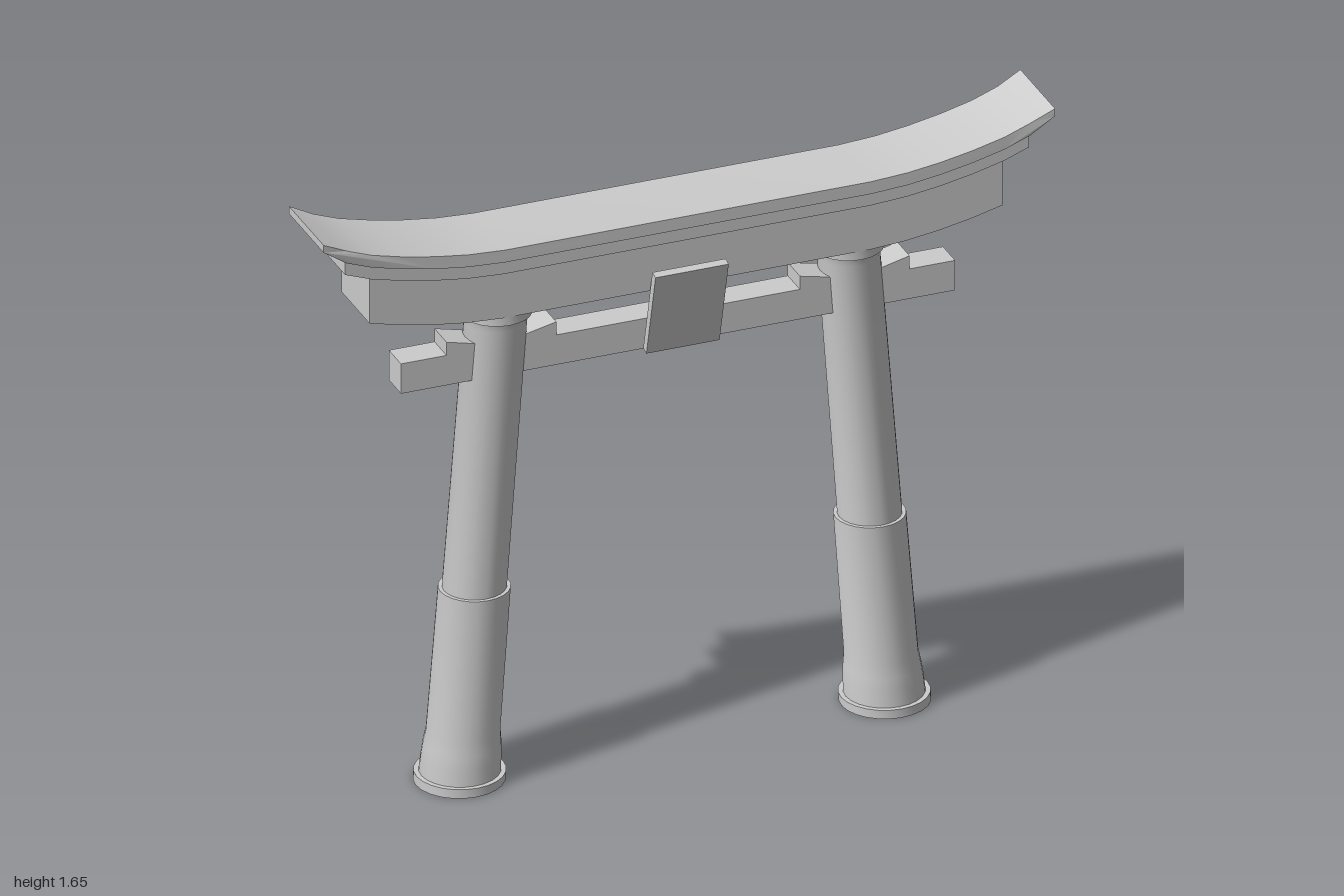
import * as THREE from 'three';
import { toCreasedNormals } from 'three/addons/utils/BufferGeometryUtils.js';

const CZ = -0.006; // depth centre of the gate
const grey = new THREE.MeshStandardMaterial({ color: 0xcccccc });
const greyDouble = new THREE.MeshStandardMaterial({ color: 0xcccccc, side: THREE.DoubleSide });

function add(parent, name, geometry, material = grey) {
  const mesh = new THREE.Mesh(geometry, material);
  mesh.name = name;
  parent.add(mesh);
  return mesh;
}

// Extrudes an x-y outline symmetrically in depth
function slab(points, halfDepth) {
  const shape = new THREE.Shape(points.map(([x, y]) => new THREE.Vector2(x, y)));
  const g = new THREE.ExtrudeGeometry(shape, { depth: halfDepth * 2, bevelEnabled: false });
  return g.translate(0, 0, -halfDepth);
}

// Upward sweep of the lintels: [x, rise]
const SWEEP = [[0.5, 0], [0.6, 0.006], [0.69, 0.018], [0.78, 0.035], [0.865, 0.056], [0.935, 0.082], [1, 0.114]];

function lintel(halfLength, bottom, top, halfDepth, tipThinning = 0) {
  const run = SWEEP.filter(([x]) => x <= halfLength);
  const low = run.map(([x, r]) => [x, bottom + r + (x === 1 ? tipThinning : 0)]);
  const high = run.map(([x, r]) => [x, top + r]);
  const rightHalf = [...low, ...high.reverse()];
  const leftHalf = rightHalf.map(([x, y]) => [-x, y]).reverse();
  return slab([...rightHalf, ...leftHalf], halfDepth);
}

// Upright leg: turned profile, sheared so that rims stay level
function pillar(side) {
  const profile = [
    [0.118, 0], [0.118, 0.025], [0.105, 0.025], [0.103, 0.07], [0.1, 0.105], [0.095, 0.14],
    [0.093, 0.54], [0.083, 0.54], [0.081, 1.29], [0.085, 1.31], [0.093, 1.313], [0.093, 1.34],
  ].map(([r, y]) => new THREE.Vector2(r, y));
  const g = toCreasedNormals(new THREE.LatheGeometry(profile, 24), 0.6);
  const p = g.attributes.position;
  for (let i = 0; i < p.count; i++) {
    p.setX(i, p.getX(i) + side * (0.582 - 0.077 * p.getY(i)));
  }
  return g;
}

export function createModel() {
  const gate = new THREE.Group();
  gate.name = 'gate';

  const frame = new THREE.Group();
  frame.name = 'frame';
  frame.position.z = CZ;
  gate.add(frame);

  // Stacked lintels, each longer and deeper than the one below
  add(frame, 'lowerLintel', toCreasedNormals(lintel(0.865, 1.338, 1.468, 0.094), 0.4));
  add(frame, 'middleLintel', toCreasedNormals(lintel(0.935, 1.468, 1.505, 0.102), 0.4));
  const roof = lintel(1, 1.505, 1.54, 0.11, 0.014);
  const p = roof.attributes.position;
  for (let i = 0; i < p.count; i++) {
    if (Math.abs(p.getX(i)) > 0.99) p.setZ(i, p.getZ(i) * 1.06); // flared tips
  }
  add(frame, 'topLintel', toCreasedNormals(roof, 0.4));

  // Straight tie beam through both pillars
  add(frame, 'tieBeam', new THREE.BoxGeometry(1.515, 0.085, 0.082)).position.y = 1.19;

  for (const side of [1, -1]) {
    const label = side > 0 ? 'left' : 'right';
    add(frame, label + 'Pillar', pillar(side), greyDouble);

    // Wedges driven in on both sides of the pillar
    for (const [name, end] of [['OuterWedge', 0.633], ['InnerWedge', 0.333]]) {
      const pts = [[end, 1.23], [end, 1.27], [0.49, 1.235], [0.49, 1.23]].map(([x, y]) => [x * side, y]);
      add(frame, label + name, slab(pts, 0.041));
    }
  }

  // Tilted plaque hanging in the middle
  const plaque = add(gate, 'plaque', new THREE.BoxGeometry(0.2, 0.253, 0.022));
  plaque.position.set(0, 1.275, 0.088);
  plaque.rotation.x = 0.245;

  return gate;
}
